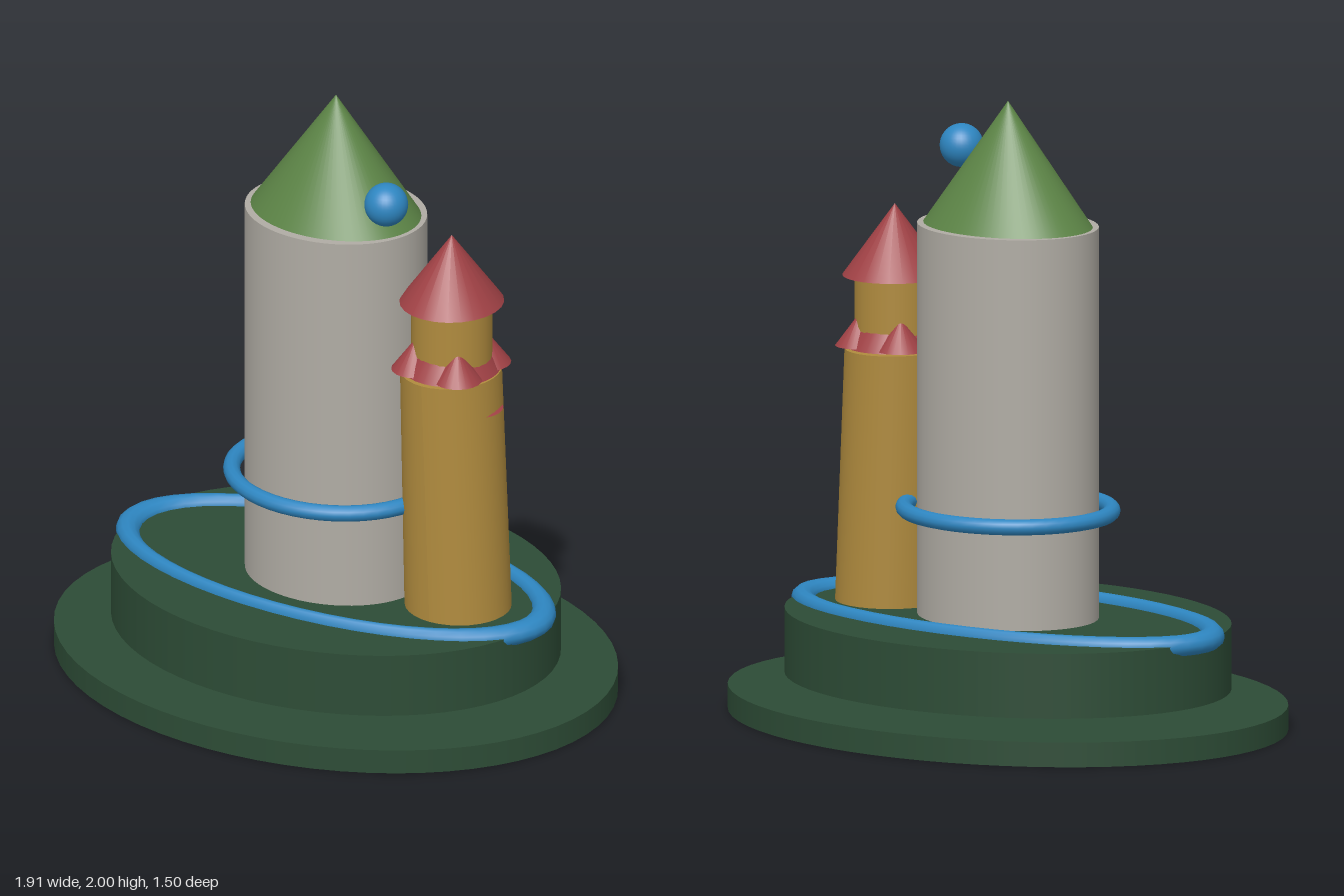
import * as THREE from 'three';

const mat = (name, color) => {
  const m = new THREE.MeshStandardMaterial({ color });
  m.name = name;
  return m;
};

export function createModel() {
  const group = new THREE.Group();
  const darkGreen = mat('dark green', 0x2d4c36);
  const stone = mat('stone grey', 0xb0aca4);
  const leaf = mat('leaf green', 0x5c8446);
  const ochre = mat('ochre', 0xb08b3e);
  const red = mat('roof red', 0xa04145);
  const blue = mat('blue', 0x2e86c1);

  const add = (name, geometry, material, x = 0, y = 0, z = 0) => {
    const mesh = new THREE.Mesh(geometry, material);
    mesh.name = name;
    mesh.position.set(x, y, z);
    group.add(mesh);
    return mesh;
  };
  // Upright elliptical cylinder or cone between two heights
  const drum = (name, material, y0, y1, rx, rz, taper = 1, x = 0, z = 0, sides = 64) => {
    const g = taper > 0
      ? new THREE.CylinderGeometry(taper, 1, y1 - y0, sides)
      : new THREE.ConeGeometry(1, y1 - y0, sides);
    g.scale(rx, 1, rz);
    return add(name, g, material, x, (y0 + y1) / 2, z);
  };
  // Flat-lying elliptical ring
  const ring = (name, y, rx, rz, tube, tubeY) => {
    const g = new THREE.TorusGeometry(1, tube, 12, 48);
    g.rotateX(Math.PI / 2);
    g.scale(rx, tubeY / tube, rz);
    return add(name, g, blue, 0, y, 0);
  };

  // Stepped oval base
  drum('lowerBase', darkGreen, 0, 0.08, 0.953, 0.752);
  drum('upperBase', darkGreen, 0.125, 0.335, 0.76, 0.6);

  // Main column and its roof
  drum('mainColumn', stone, 0.335, 1.6, 0.303, 0.258);
  drum('mainRoof', leaf, 1.6, 2, 0.288, 0.228, 0);

  // Rings and floating ball
  ring('baseRing', 0.33, 0.755, 0.363, 0.058, 0.035);
  ring('columnRing', 0.68, 0.341, 0.31, 0.082, 0.026);
  add('floatingBall', new THREE.SphereGeometry(0.07, 32, 20), blue, 0.335, 1.785, 0.22);

  // Side tower shaft, tapering and leaning towards the column
  const shaft = new THREE.CylinderGeometry(1, 1, 0.82, 32, 1);
  const p = shaft.attributes.position;
  for (let i = 0; i < p.count; i++) {
    const top = p.getY(i) > 0;
    p.setX(i, p.getX(i) * (top ? 0.158 : 0.172) + (top ? 0.437 : 0.464));
    p.setZ(i, p.getZ(i) * (top ? 0.172 : 0.167));
  }
  shaft.computeVertexNormals();
  add('towerShaft', shaft, ochre, 0, 0.745, 0);

  // Small eave showing through the outer side of the shaft
  drum('towerEave', red, 1.035, 1.075, 0.118, 0.1, 0, 0.495, -0.01, 24);

  // Skirt roof made of a low cone with four small peaks
  drum('skirtRoof', red, 1.16, 1.225, 0.157, 0.163, 0.75, 0.438, 0, 32);
  for (const sx of [-1, 1]) {
    for (const sz of [-1, 1]) {
      drum('skirtPeak', red, 1.165, 1.27, 0.078, 0.08, 0, 0.438 + sx * 0.08, sz * 0.083, 20);
    }
  }

  // Upper turret and its roof
  drum('turret', ochre, 1.155, 1.4, 0.13, 0.127, 1, 0.44, 0, 24);
  drum('turretRoof', red, 1.39, 1.62, 0.165, 0.172, 0, 0.44, 0, 24);

  return group;
}
